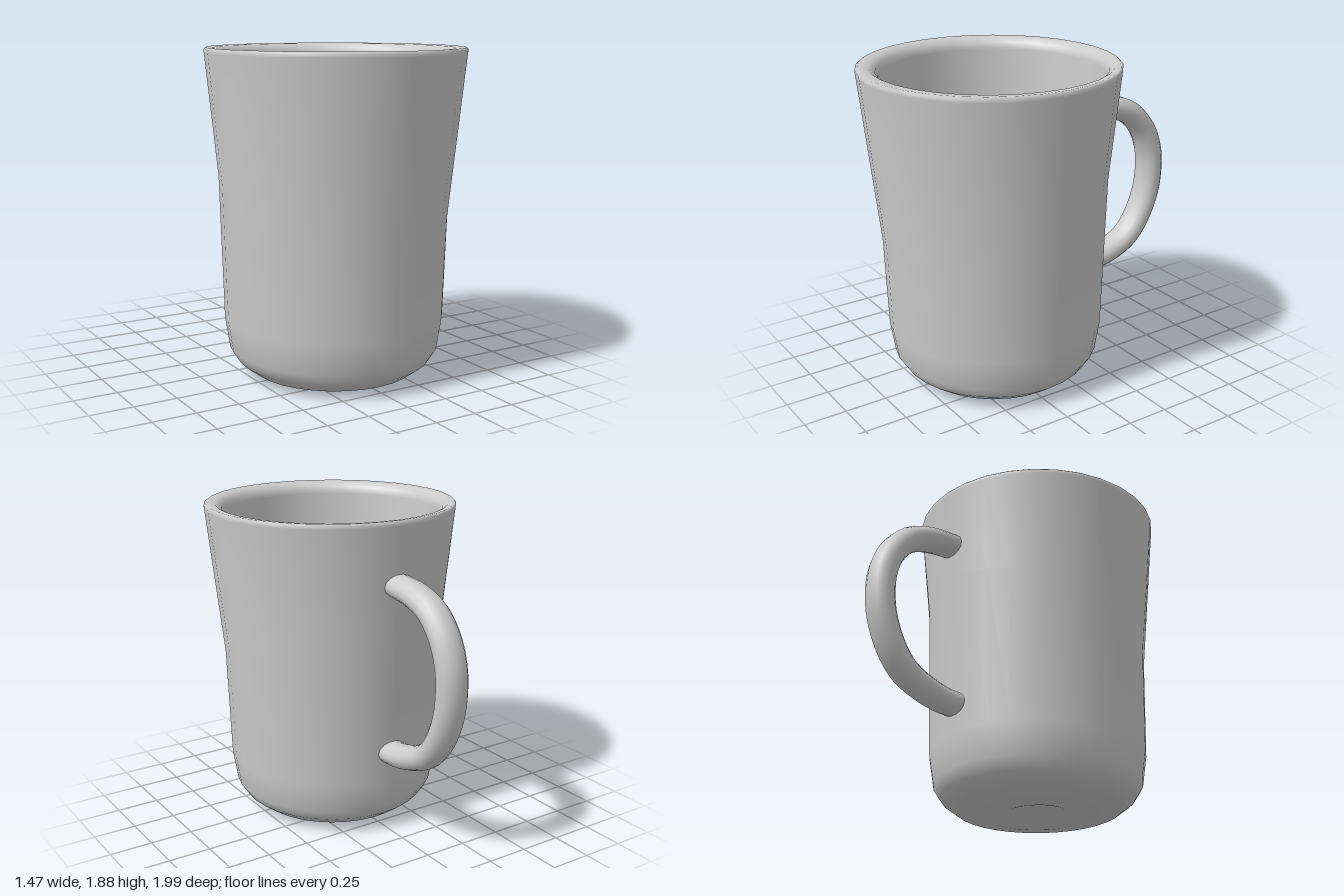
import * as THREE from 'three';

const material = new THREE.MeshStandardMaterial({ color: 0xcccccc, side: THREE.DoubleSide });

// Lathed cup; each profile row is [radius, height, centre z, front-to-back tilt]
function makeCup() {
  const rows = [
    // underside and rounded foot
    [0, 0.015, 0.245, 0], [0.15, 0.015, 0.245, 0], [0.19, 0.004, 0.245, 0],
    [0.32, 0.004, 0.245, 0], [0.48, 0.03, 0.245, 0], [0.56, 0.09, 0.245, 0],
    [0.605, 0.16, 0.245, 0], [0.633, 0.34, 0.245, 0],
    // slanted waist and flared lip
    [0.655, 1.08, 0.239, 0.22], [0.735, 1.85, 0.262, 0], [0.737, 1.87, 0.262, 0],
    [0.725, 1.88, 0.26, 0], [0.68, 1.876, 0.245, 0], [0.645, 1.85, 0.243, 0],
    // inner wall and floor
    [0.635, 1.81, 0.243, 0], [0.59, 1.08, 0.24, 0.22], [0.572, 0.36, 0.245, 0],
    [0.54, 0.2, 0.245, 0], [0.48, 0.13, 0.245, 0], [0.38, 0.09, 0.245, 0], [0, 0.08, 0.245, 0],
  ];
  const geometry = new THREE.LatheGeometry(rows.map(([r, y]) => new THREE.Vector2(r, y)), 32);
  const pos = geometry.attributes.position;
  for (let i = 0; i < pos.count; i++) {
    const [r, y, centre, tilt] = rows[i % rows.length];
    const z = pos.getZ(i);
    if (r > 0) pos.setY(i, y - tilt * z / r);
    pos.setZ(i, z + centre);
  }
  const cup = new THREE.Mesh(geometry, material);
  cup.name = 'cup';
  return cup;
}

// Handle: oval tube, a little thicker around the back of the loop
function makeHandle() {
  const path = [
    [1.512, -0.385], [1.51, -0.45], [1.487, -0.61], [1.43, -0.745], [1.315, -0.85],
    [1.18, -0.905], [1.06, -0.918], [0.9, -0.9], [0.73, -0.83], [0.615, -0.735],
    [0.545, -0.585], [0.515, -0.45], [0.512, -0.36],
  ];
  const curve = new THREE.CatmullRomCurve3(path.map(([y, z]) => new THREE.Vector3(0, y, z)));
  const steps = 40, sides = 14;
  const geometry = new THREE.TubeGeometry(curve, steps, 0.075, sides);
  const pos = geometry.attributes.position;
  const v = new THREE.Vector3();
  for (let i = 0; i <= steps; i++) {
    const centre = curve.getPointAt(i / steps);
    const thickness = 0.88 + 0.17 * Math.sin(Math.PI * i / steps);
    for (let j = 0; j <= sides; j++) {
      const k = i * (sides + 1) + j;
      v.fromBufferAttribute(pos, k).sub(centre);
      v.y *= thickness;
      v.z *= thickness;
      v.add(centre);
      pos.setXYZ(k, v.x, v.y, v.z);
    }
  }
  geometry.scale(1.22, 1, 1);
  const handle = new THREE.Mesh(geometry, material);
  handle.name = 'handle';
  return handle;
}

export function createModel() {
  const mug = new THREE.Group();
  mug.name = 'mug';
  mug.add(makeCup(), makeHandle());
  return mug;
}
